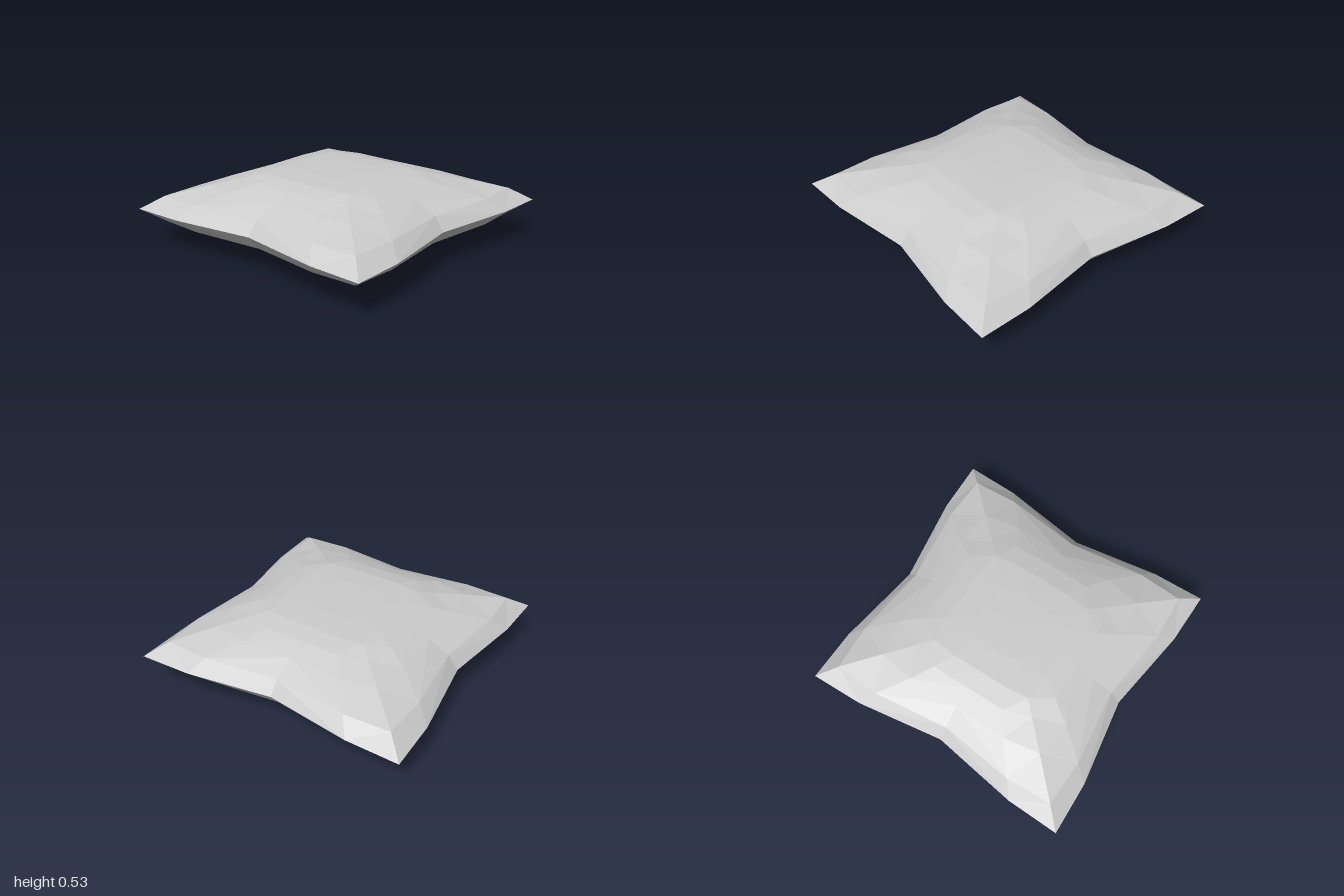
import * as THREE from 'three';

const MID = 0.264; // height of the seam

// Rings from seam to crown: corner, quarter point (x, z) and middle of one side, with heights above the seam
const RINGS = [
  { c: 1.0, q: [0.62, 0.99], m: 0.895, hc: 0, h: 0 },
  { c: 0.87, q: [0.54, 0.885], m: 0.82, hc: 0.093, h: 0.094 },
  { c: 0.64, q: [0.38, 0.685], m: 0.67, hc: 0.168, h: 0.174 },
  { c: 0.47, q: [0.28, 0.535], m: 0.535, hc: 0.215, h: 0.224 },
  { c: 0.38, q: [0.2, 0.4], m: 0.4, hc: 0.246, h: 0.251 },
  { c: 0.2, q: [0.1, 0.215], m: 0.22, hc: 0.26, h: 0.261 },
];
const N = 16; // points per ring

// One padded half; sign +1 bulges up, -1 bulges down
function halfShell(sign) {
  const pos = [];
  const index = [];
  const tri = (a, b, c) => (sign > 0 ? index.push(a, b, c) : index.push(a, c, b));

  for (const { c, q, m, hc, h } of RINGS) {
    const side = [[c, c, hc], [q[0], q[1], h], [0, m, h], [-q[0], q[1], h]];
    for (let k = 0; k < 4; k++) {
      for (let [x, z, y] of side) {
        for (let r = 0; r < k; r++) [x, z] = [-z, x]; // quarter turns
        pos.push(x, MID + sign * y, z);
      }
    }
  }
  const centre = pos.length / 3;
  pos.push(0, MID + sign * MID, 0);

  for (let i = 0; i < RINGS.length; i++) {
    for (let j = 0; j < N; j++) {
      const a = i * N + j;
      const b = i * N + ((j + 1) % N);
      if (i === RINGS.length - 1) {
        tri(a, centre, b);
      } else if (j % 2 === 0) {
        // diagonals mirror about each side's middle and corner
        tri(a, a + N, b);
        tri(a + N, b + N, b);
      } else {
        tri(a, a + N, b + N);
        tri(a, b + N, b);
      }
    }
  }
  const indexed = new THREE.BufferGeometry();
  indexed.setAttribute('position', new THREE.Float32BufferAttribute(pos, 3));
  indexed.setIndex(index);
  const geometry = indexed.toNonIndexed();
  geometry.computeVertexNormals();
  return geometry;
}

export function createModel() {
  const group = new THREE.Group();
  group.name = 'pillow';
  const material = new THREE.MeshStandardMaterial({ color: 0xcccccc, flatShading: true });
  for (const [name, sign] of [['upperHalf', 1], ['lowerHalf', -1]]) {
    const mesh = new THREE.Mesh(halfShell(sign), material);
    mesh.name = name;
    group.add(mesh);
  }
  return group;
}
